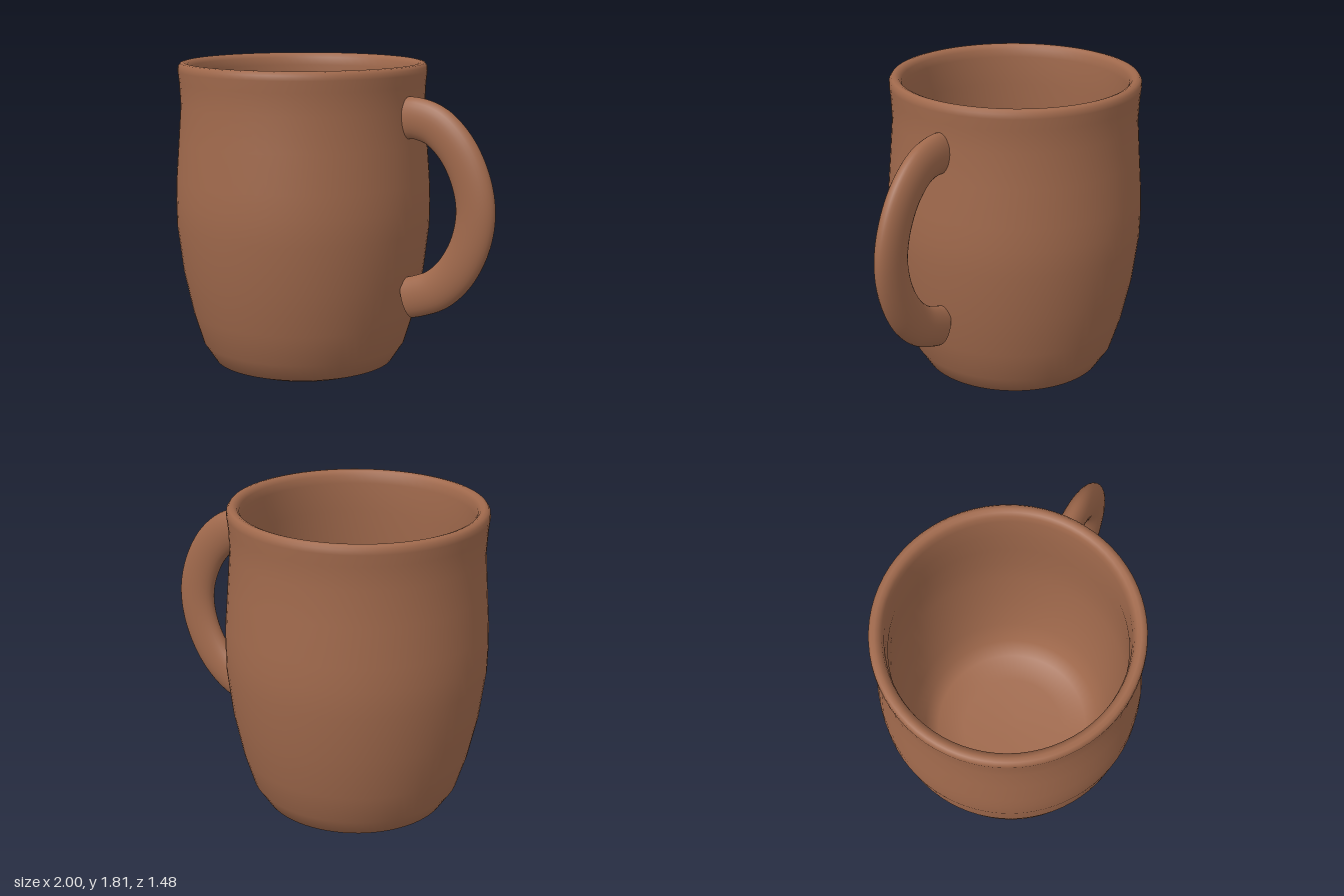
import * as THREE from 'three';

export function createModel() {
  const mug = new THREE.Group();
  mug.name = 'mug';
  const clay = new THREE.MeshStandardMaterial({ color: 0xa0694c });
  clay.name = 'brown clay';

  const add = (name, geometry, parent = mug) => {
    const mesh = new THREE.Mesh(geometry, clay);
    mesh.name = name;
    parent.add(mesh);
    return mesh;
  };

  // Cup: outside from the foot up, over the rounded rim, then down the inside
  const profile = [
    [0, 0], [0.25, 0.006], [0.42, 0.022], [0.53, 0.062], [0.6, 0.17],
    [0.655, 0.35], [0.708, 0.6], [0.74, 0.87], [0.742, 1.02], [0.737, 1.15],
    [0.72, 1.37], [0.705, 1.57], [0.711, 1.7], [0.718, 1.765], [0.716, 1.792],
    [0.703, 1.81], [0.683, 1.814], [0.663, 1.806], [0.648, 1.785],
    [0.641, 1.74], [0.637, 1.57], [0.655, 1.35], [0.668, 1.12], [0.668, 0.9],
    [0.638, 0.6], [0.59, 0.36], [0.535, 0.2], [0.46, 0.125], [0.3, 0.1], [0, 0.095],
  ].map(([r, y]) => new THREE.Vector2(r, y));
  add('cup', new THREE.LatheGeometry(profile, 72)).position.x = -0.258;

  // Handle: a tube along a C-shaped path, flattened sideways
  const path = new THREE.CatmullRomCurve3([
    [0.43, 1.531], [0.51, 1.533], [0.63, 1.497], [0.76, 1.38], [0.85, 1.21],
    [0.881, 1.04], [0.85, 0.86], [0.76, 0.69], [0.645, 0.583], [0.53, 0.532], [0.462, 0.512],
  ].map(([x, y]) => new THREE.Vector3(x, y, 0)));
  const radius = 0.117;
  const handle = new THREE.Group();
  handle.name = 'handle';
  handle.scale.z = 0.065 / radius;
  mug.add(handle);
  add('handleLoop', new THREE.TubeGeometry(path, 56, radius, 28), handle);

  // Softly domed ends where the handle meets the cup
  for (const [name, t] of [['upperHandleEnd', 0], ['lowerHandleEnd', 1]]) {
    const end = add(name, new THREE.SphereGeometry(radius, 28, 16), handle);
    const tangent = path.getTangentAt(t);
    end.scale.x = 0.2;
    end.position.copy(path.getPointAt(t));
    end.rotation.z = Math.atan2(tangent.y, tangent.x);
  }
  return mug;
}
